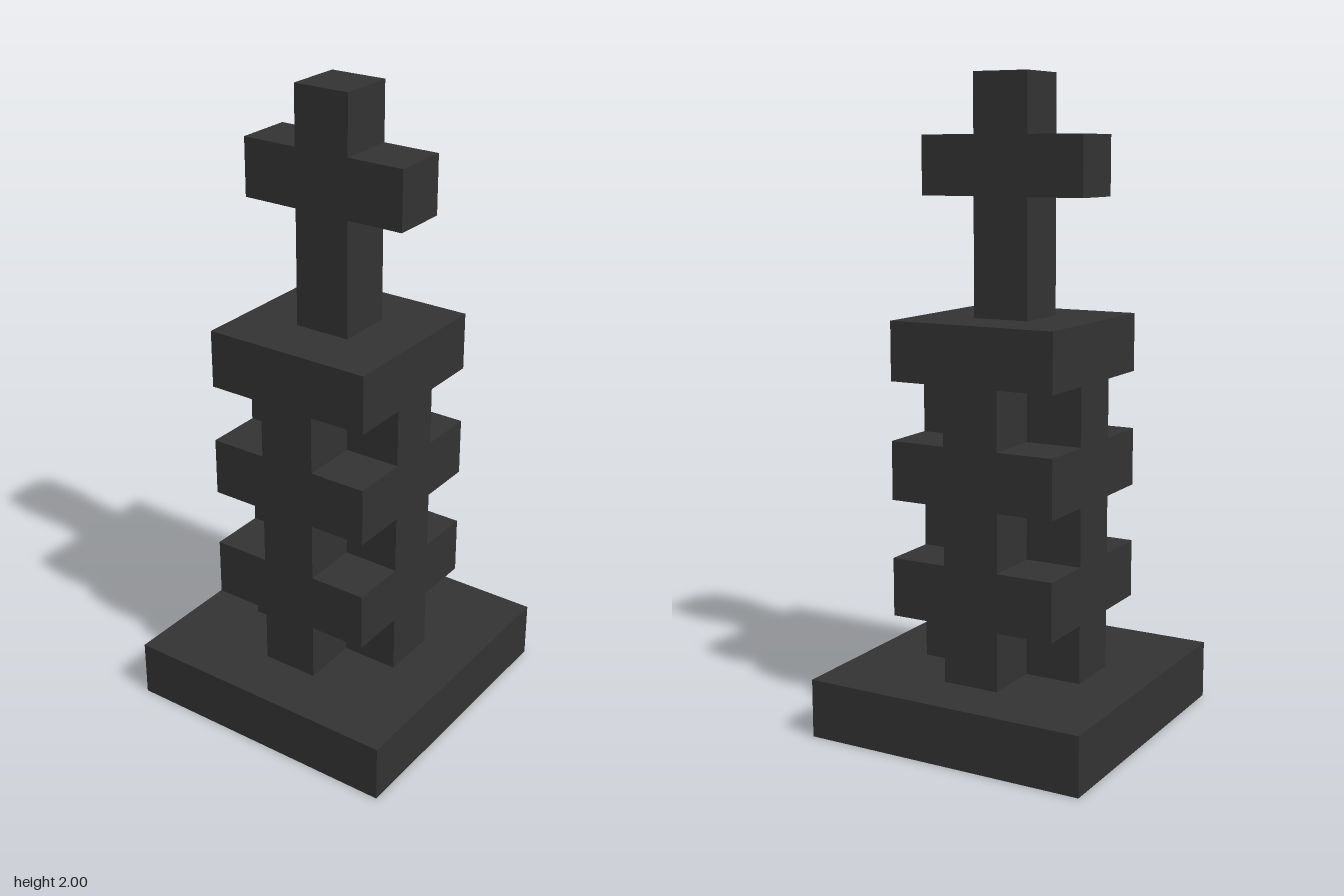
import * as THREE from 'three';
import { mergeGeometries } from 'three/addons/utils/BufferGeometryUtils.js';

const U = 2 / 11; // one cube of the grid

// Each part covers some layers and says which cells (x, z from the centre) are solid
const square = (r) => (x, z) => Math.abs(x) <= r && Math.abs(z) <= r;
const plus = (x, z) => square(1)(x, z) && (x === 0 || z === 0);
const parts = [
  { name: 'base', from: 0, to: 0, solid: square(2) },
  { name: 'lowerNeck', from: 1, to: 1, solid: plus },
  { name: 'lowerPlate', from: 2, to: 2, solid: square(1) },
  { name: 'middleNeck', from: 3, to: 3, solid: plus },
  { name: 'middlePlate', from: 4, to: 4, solid: square(1) },
  { name: 'upperNeck', from: 5, to: 5, solid: plus },
  { name: 'topPlate', from: 6, to: 6, solid: square(1) },
  { name: 'crossStem', from: 7, to: 8, solid: square(0) },
  { name: 'crossArms', from: 9, to: 9, solid: (x, z) => Math.abs(x) <= 1 && z === 0 },
  { name: 'crossTop', from: 10, to: 10, solid: square(0) },
];

const sides = [[1, 0, 0], [-1, 0, 0], [0, 1, 0], [0, -1, 0], [0, 0, 1], [0, 0, -1]];

// Space under the base counts as filled, so the hollow shell stays open below
function filled(x, y, z) {
  if (y < 0) return true;
  const part = parts.find((p) => y >= p.from && y <= p.to);
  return !!part && part.solid(x, z);
}

// One outward square on a side of a cell
function face(x, y, z, side) {
  const normal = new THREE.Vector3(...side);
  const turn = new THREE.Quaternion().setFromUnitVectors(new THREE.Vector3(0, 0, 1), normal);
  return new THREE.PlaneGeometry(U, U)
    .applyQuaternion(turn)
    .translate((x + normal.x / 2) * U, (y + 0.5 + normal.y / 2) * U, (z + normal.z / 2) * U);
}

// Only the exposed skin of a part; touching parts open into each other
function shell(part) {
  const faces = [];
  for (let y = part.from; y <= part.to; y++)
    for (let x = -2; x <= 2; x++)
      for (let z = -2; z <= 2; z++) {
        if (!part.solid(x, z)) continue;
        for (const s of sides)
          if (!filled(x + s[0], y + s[1], z + s[2])) faces.push(face(x, y, z, s));
      }
  return mergeGeometries(faces);
}

export function createModel() {
  const charcoal = new THREE.MeshStandardMaterial({ color: 0x333333, side: THREE.DoubleSide });
  charcoal.name = 'charcoal';
  const group = new THREE.Group();
  group.name = 'kingChessPiece';
  for (const part of parts) {
    const mesh = new THREE.Mesh(shell(part), charcoal);
    mesh.name = part.name;
    group.add(mesh);
  }
  return group;
}
